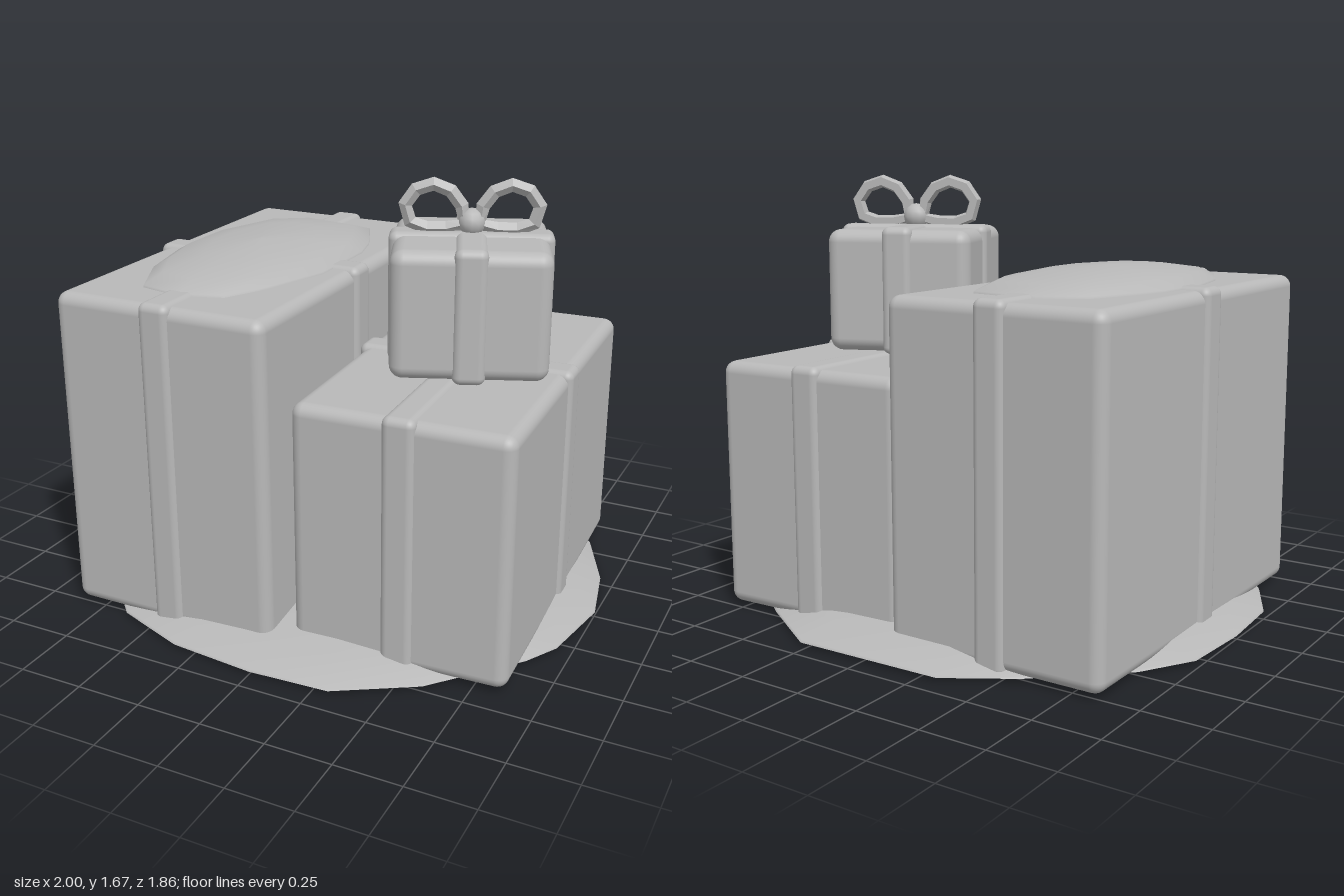
import * as THREE from 'three';
import { RoundedBoxGeometry } from 'three/addons/geometries/RoundedBoxGeometry.js';

const grey = new THREE.MeshStandardMaterial({ color: 0xb8b8b8 });
grey.name = 'plain grey';

function mesh(name, geometry, parent) {
  const m = new THREE.Mesh(geometry, grey);
  m.name = name;
  parent.add(m);
  return m;
}

// Gift box with two crossing ribbons, standing on y = 0 of its own group
function gift(name, w, h, d, radius, ribbon, lift) {
  const g = new THREE.Group();
  g.name = name;
  const top = h + 0.012;
  const box = mesh('box', new RoundedBoxGeometry(w, h - lift, d, 4, radius), g);
  box.position.y = (h + lift) / 2;
  const along = mesh('lengthRibbon', new RoundedBoxGeometry(ribbon, top, d + 0.03, 4, 0.03), g);
  along.position.y = top / 2;
  const across = mesh('crossRibbon', new RoundedBoxGeometry(w + 0.03, top, ribbon, 4, 0.03), g);
  across.position.y = top / 2;
  return g;
}

// Low snow dome: an irregular outline shrunk ring by ring, closed underneath
function mound(outline, rings) {
  const n = outline.length, pos = [], idx = [];
  for (const [s, y] of rings) {
    for (const [x, z] of outline) pos.push(x * s, y, z * s);
  }
  for (let r = 0; r < rings.length - 1; r++) {
    for (let j = 0; j < n; j++) {
      const k = (j + 1) % n, o = r * n, i = o + n;
      idx.push(o + k, o + j, i + j, o + k, i + j, i + k);
    }
  }
  // flat underside with its own vertices
  const base = pos.length / 3;
  for (const [x, z] of outline) pos.push(x, rings[0][1], z);
  pos.push(0, rings[0][1], 0);
  for (let j = 0; j < n; j++) idx.push(base + j, base + (j + 1) % n, base + n);
  const g = new THREE.BufferGeometry();
  g.setAttribute('position', new THREE.Float32BufferAttribute(pos, 3));
  g.setIndex(idx);
  g.computeVertexNormals();
  return g;
}

function faceted(geometry) {
  const g = geometry.toNonIndexed();
  g.computeVertexNormals();
  return g;
}

export function createModel() {
  const model = new THREE.Group();
  model.name = 'giftPile';

  // Snow under the gifts
  const ground = [
    [-0.32, -0.92], [0.28, -0.93], [0.575, -0.745], [0.82, -0.56], [0.945, -0.28],
    [1, -0.01], [0.945, 0.3], [0.87, 0.43], [0.595, 0.74], [0.31, 0.91], [0, 0.925],
    [-0.34, 0.89], [-0.63, 0.78], [-0.86, 0.54], [-0.98, 0.3], [-1, 0],
    [-0.98, -0.3], [-0.86, -0.5], [-0.56, -0.77],
  ];
  mesh('snowMound', mound(ground, [[1, 0.012], [0.995, 0.02], [0.84, 0.07], [0.5, 0.11], [0.01, 0.13]]), model);

  // Tall gift on the right
  const tall = gift('tallGift', 0.865, 1.27, 1.545, 0.045, 0.125, 0.015);
  tall.position.set(-0.438, 0, -0.007);
  model.add(tall);

  // Snow lying on the tall gift
  const cap = [
    [0.21, -0.57], [0.31, -0.35], [0.345, -0.21], [0.345, 0.13], [0.255, 0.4], [0.17, 0.56],
    [0.01, 0.615], [-0.17, 0.575], [-0.28, 0.35], [-0.34, 0.08], [-0.335, -0.19],
    [-0.225, -0.51], [-0.07, -0.61],
  ];
  const snow = mesh('snowCap', mound(cap, [[1, 1.262], [0.99, 1.278], [0.84, 1.308], [0.5, 1.335], [0.01, 1.345]]), model);
  snow.position.set(-0.44, 0, 0);

  // Lower gift on the left, turned slightly
  const low = gift('lowGift', 0.82, 0.97, 1.42, 0.045, 0.125, 0.015);
  low.position.set(0.435, 0, -0.03);
  low.rotation.y = 0.042;
  model.add(low);

  // Small gift on top
  const small = gift('smallGift', 0.575, 0.487, 0.575, 0.05, 0.12, 0.01);
  small.position.set(0.447, 0.97, -0.003);
  small.rotation.y = 0.375;
  model.add(small);

  // Bow: two faceted loops and a knot
  const loop = [
    [0.03, 0.525], [0.04, 0.595], [0.085, 0.65], [0.145, 0.67], [0.21, 0.645],
    [0.245, 0.585], [0.215, 0.52], [0.12, 0.507],
  ];
  const bow = new THREE.Group();
  bow.name = 'bow';
  for (const side of [-1, 1]) {
    const path = new THREE.CatmullRomCurve3(
      loop.map(([x, y]) => new THREE.Vector3(side * x, y, 0)), true);
    mesh(side < 0 ? 'rightBowLoop' : 'leftBowLoop',
      faceted(new THREE.TubeGeometry(path, 9, 0.027, 5, true)), bow);
  }
  const knot = mesh('bowKnot', new THREE.SphereGeometry(0.052, 12, 8), bow);
  knot.position.y = 0.53;
  small.add(bow);

  return model;
}
